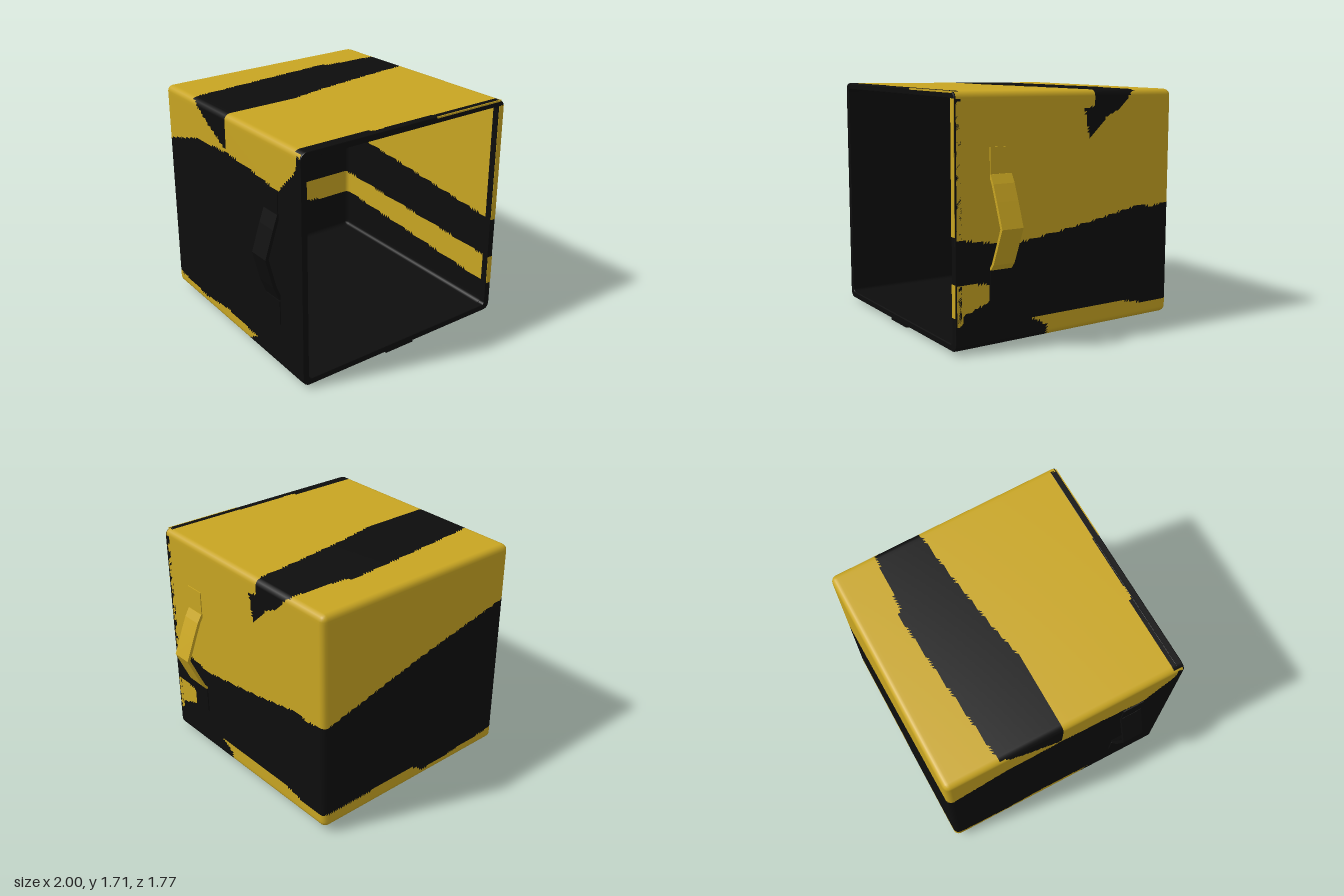
import * as THREE from 'three';

const yellow = new THREE.MeshStandardMaterial({ color: 0xc8a522 });
yellow.name = 'yellow fabric';
const black = new THREE.MeshStandardMaterial({ color: 0x0d0d0d });
black.name = 'black fabric';

// Yellow areas of each side as outlines; overlapping outlines cancel out.
// Sides use (z, y) for left/right, (x, z) for top/bottom, (x, y) for back.
const outside = {
  left: [
    [[2, .76], [.89, .76], [.6, .72], [.47, .69], [0, .76], [-.3, .81], [-.6, .87], [-.7, .85], [-.89, .87], [-2, .87], [-2, 3], [2, 3]],
    [[-.19, 2], [-.2, 1.58], [-.12, 1.57], [-.16, 1.36], [-.22, 1.42], [-.3, 1.5], [-.43, 1.57], [-.54, 1.69], [-.54, 2]],
    [[.32, .18], [-.5, .18], [-.65, .15], [-2, .17], [-2, -1], [.15, -1], [.18, .11]],
    [[2, .47], [.89, .47], [.64, .45], [.64, .33], [.82, .26], [.85, .19], [2, .2]],
  ],
  right: [
    [[-2, 1.27], [-.89, 1.27], [-.43, 1.4], [0, 1.42], [-.25, 1.55], [-.49, 1.7], [-.49, 3], [-2, 3]],
    [[-.03, 3], [-.02, 1.42], [.3, 1.4], [.62, 1.36], [.8, 1.54], [.88, 1.66], [.88, 3]],
    [[-2, .15], [-.89, .15], [-.43, .11], [-.12, .15], [.3, .12], [.15, .03], [.15, -1], [-2, -1]],
  ],
  top: [
    [[-2, -2], [2, -2], [2, 2], [.22, 2], [.21, .83], [-.3, .84], [-.31, .81], [-2, .82]],
    [[-2, -.49], [-.87, -.49], [-.3, -.545], [.1, -.58], [.35, -.6], [.38, -.57], [.84, -.54], [2, -.54],
      [2, -.2], [.84, -.2], [.4, -.15], [0, -.09], [-.3, -.03], [-2, -.03]],
  ],
  bottom: [[[2, .18], [.84, .18], [.3, .14], [.28, .04], [-.9, -.03], [-2, -.03], [-2, -2], [2, -2]]],
  back: [
    [[-2, 1.27], [-.87, 1.27], [0, 1.08], [.84, .86], [2, .86], [2, 3], [-2, 3]],
    [[-2, .15], [-.87, .15], [-.1, .1], [0, .17], [.84, .16], [2, .16], [2, -1], [-2, -1]],
  ],
};
const inside = {
  left: [
    [[2, .78], [.89, .78], [-.84, .98], [-2, .98], [-2, 3], [2, 3]],
    [[2, .47], [.89, .47], [-.84, .59], [-2, .59], [-2, .41], [-.84, .41], [.89, .25], [2, .25]],
  ],
  right: [], top: [], bottom: [],
  back: [
    [[-2, 1.42], [-.75, 1.42], [-.6, 1.36], [-.3, 1.25], [0, 1.2], [.3, 1.14], [.6, 1.08], [.64, 1.02], [2, .97], [2, 3], [-2, 3]],
    [[-2, .66], [-.5, .65], [-.1, .64], [.2, .59], [.5, .6], [2, .59], [2, .41], [.6, .4], [.3, .43], [-.1, .46],
      [-.15, .42], [-.5, .46], [-.65, .43], [-2, .47]],
  ],
};
const sides = ['left', 'right', 'top', 'bottom', 'front', 'back'];

function contains(poly, u, v) {
  let odd = false;
  poly.forEach(([u1, v1], i) => {
    const [u2, v2] = poly[(i + 1) % poly.length];
    if ((v1 > v) !== (v2 > v) && u < u1 + (v - v1) / (v2 - v1) * (u2 - u1)) odd = !odd;
  });
  return odd;
}

function isYellow(paint, side, p) {
  const [u, v] = side === 'back' ? [p.x, p.y] : side === 'top' || side === 'bottom' ? [p.x, p.z] : [p.z, p.y];
  return paint[side].filter(poly => contains(poly, u, v)).length % 2 === 1;
}

// Slight narrowing toward the back
function taper(p, narrow) {
  const b = THREE.MathUtils.clamp((0.89 - p.z) / 1.78, 0, 1);
  if (p.x < 0) p.x *= 1 - narrow * b;
  p.y += b * 0.03 * (1 - p.y);
  return p;
}

// Rounded box without its front, coloured triangle by triangle in two groups
function shell(min, max, radius, steps, narrow, paint, inward) {
  const size = max.clone().sub(min), mid = max.clone().add(min).multiplyScalar(0.5);
  const box = new THREE.BoxGeometry(size.x, size.y, size.z, steps, steps, steps);
  const lo = min.clone().addScalar(radius), hi = max.clone().subScalar(radius);
  hi.z = max.z;
  const pos = box.attributes.position, points = [], normals = [];
  for (let i = 0; i < pos.count; i++) {
    const p = new THREE.Vector3().fromBufferAttribute(pos, i).add(mid);
    const core = p.clone().clamp(lo, hi);
    const n = p.sub(core).normalize();
    points.push(taper(core.addScaledVector(n, radius), narrow));
    normals.push(inward ? n.clone().negate() : n.clone());
  }
  const parts = [[], []];
  for (const g of box.groups) {
    const side = sides[g.materialIndex];
    if (side === 'front') continue;
    for (let i = g.start; i < g.start + g.count; i += 3) {
      const t = [0, 1, 2].map(k => box.index.getX(i + k));
      const c = new THREE.Vector3();
      t.forEach(k => c.addScaledVector(points[k], 1 / 3));
      if (inward) t.reverse();
      parts[isYellow(paint, side, c) ? 0 : 1].push(...t);
    }
  }
  const geo = new THREE.BufferGeometry().setFromPoints(points);
  geo.setAttribute('normal', new THREE.Float32BufferAttribute(normals.flatMap(n => n.toArray()), 3));
  geo.setIndex(parts[0].concat(parts[1]));
  geo.addGroup(0, parts[0].length, 0);
  geo.addGroup(parts[0].length, parts[1].length, 1);
  return geo;
}

function roundedRect(path, x0, y0, x1, y1, r) {
  path.absarc(x1 - r, y1 - r, r, 0, Math.PI / 2);
  path.absarc(x0 + r, y1 - r, r, Math.PI / 2, Math.PI);
  path.absarc(x0 + r, y0 + r, r, Math.PI, Math.PI * 1.5);
  path.absarc(x1 - r, y0 + r, r, Math.PI * 1.5, Math.PI * 2);
  path.closePath();
  return path;
}

export function createModel() {
  const model = new THREE.Group();
  const add = (name, geo, mat, x = 0, y = 0, z = 0, parent = model) => {
    const mesh = new THREE.Mesh(geo, mat);
    mesh.name = name;
    mesh.position.set(x, y, z);
    parent.add(mesh);
    return mesh;
  };
  const V = (x, y, z) => new THREE.Vector3(x, y, z);

  // Fabric walls
  add('outerWalls', shell(V(-.895, .02, -.885), V(.84, 1.705, .875), .045, 80, .03, outside, false), [yellow, black]);
  add('innerLining', shell(V(-.855, .06, -.84), V(.795, 1.665, .875), .03, 64, .08, inside, true), [yellow, black]);

  // Hem around the open front
  const ring = roundedRect(new THREE.Shape(), -.889, .026, .834, 1.699, .045);
  ring.holes.push(roundedRect(new THREE.Path(), -.855, .06, .795, 1.665, .03));
  add('frontHem', new THREE.ExtrudeGeometry(ring, { depth: .04, bevelEnabled: true, bevelSize: .006, bevelThickness: .006, bevelSegments: 2 }), black, 0, 0, .84);
  for (const [y0, y1] of [[.78, 1.66], [.25, .47]])
    add('hemStripe', new THREE.BoxGeometry(.042, y1 - y0, .006), yellow, .815, (y0 + y1) / 2, .886);
  add('hemTopStripe', new THREE.BoxGeometry(.6, .012, .008), yellow, .51, 1.699, .884);

  // Strap handles: a band of even thickness swept across its width
  const strap = (points, t) => {
    const shape = new THREE.Shape();
    points.forEach(([x, y], i) => (i ? shape.lineTo(x, y) : shape.moveTo(x, y)));
    points.slice().reverse().forEach(([x, y]) => shape.lineTo(x - t, y));
    shape.closePath();
    return new THREE.ExtrudeGeometry(shape, { depth: .16, bevelEnabled: false });
  };
  const leftHandle = new THREE.Group();
  leftHandle.name = 'leftHandle';
  model.add(leftHandle);
  add('strapLoop', strap([[.85, 1.17], [.885, 1.11], [.93, 1.0], [.995, .83], [.93, .68], [.885, .58], [.85, .54]], .025), yellow, 0, 0, .47, leftHandle);
  add('upperPatch', new THREE.BoxGeometry(.012, .19, .16), yellow, .841, 1.25, .55, leftHandle);
  add('lowerPatch', new THREE.BoxGeometry(.012, .2, .16), black, .841, .44, .55, leftHandle);

  const rightHandle = new THREE.Group();
  rightHandle.name = 'rightHandle';
  model.add(rightHandle);
  add('strapLoop', strap([[-.875, 1.2], [-.91, 1.1], [-.975, .9], [-.92, .68], [-.875, .57]], .025), black, 0, 0, .46, rightHandle);
  for (const y of [1.27, .47])
    add('strapPatch', new THREE.BoxGeometry(.014, .18, .16), black, -.891, y, .54, rightHandle);

  // Small patch under the front edge
  add('basePatch', new THREE.BoxGeometry(.25, .025, .25), black, -.045, .0125, .75);
  return model;
}
